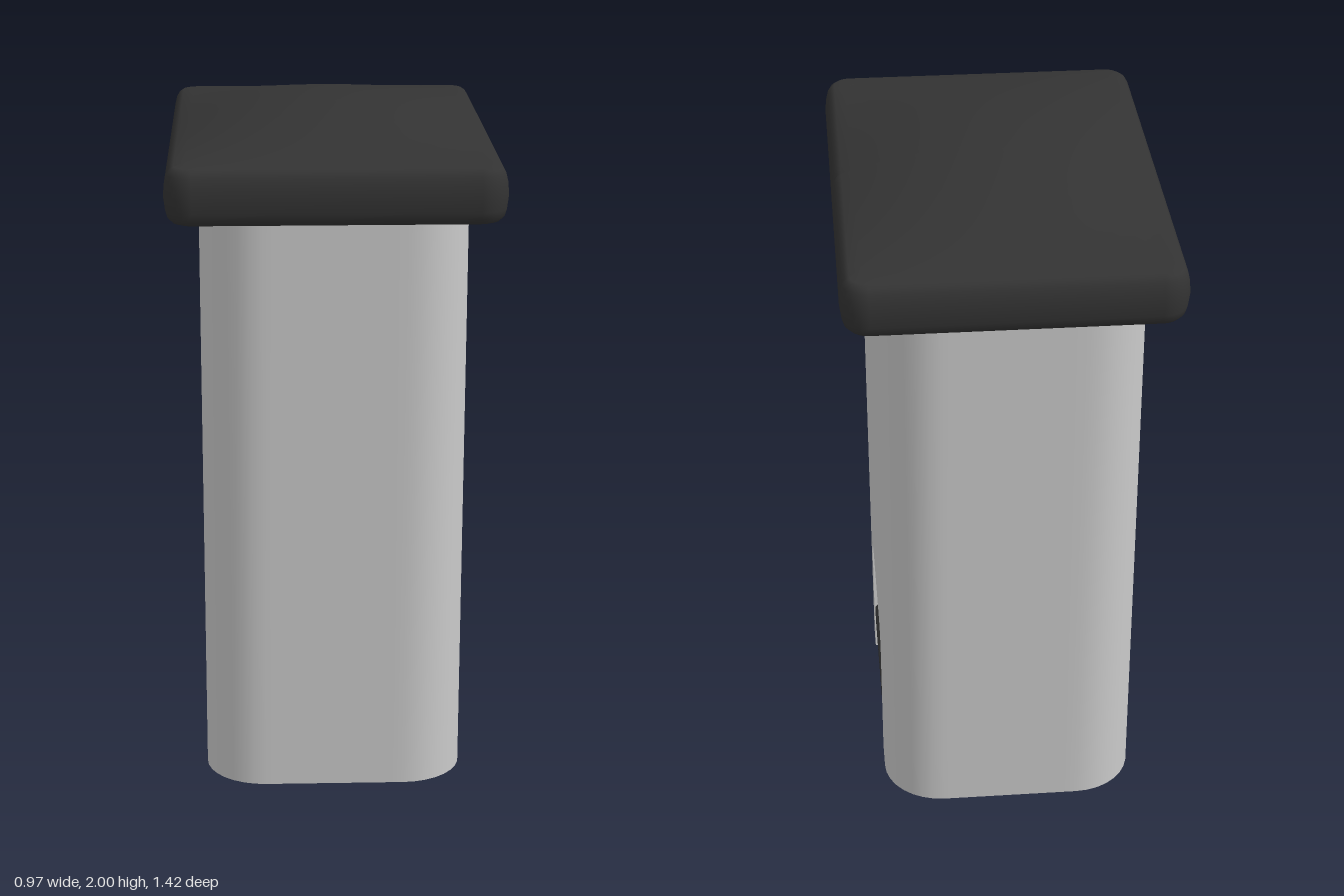
import * as THREE from 'three';

const WALL_X = 0.388, TOP_Y = 1.77, CORNER = 0.18;
const grey = new THREE.MeshStandardMaterial({ color: 0xcccccc });
const dark = new THREE.MeshStandardMaterial({ color: 0x333333 });

// Smooth surface through rows of points; faces point along (next row) x (next point)
function skin(rows) {
  const n = rows[0].length, index = [];
  for (let j = 0; j < rows.length - 1; j++) {
    for (let i = 0; i < n - 1; i++) {
      const a = j * n + i, b = a + 1, c = a + n, d = c + 1;
      index.push(a, c, b, b, c, d);
    }
  }
  const geometry = new THREE.BufferGeometry();
  geometry.setAttribute('position', new THREE.Float32BufferAttribute(rows.flat(2), 3));
  geometry.setIndex(index);
  geometry.computeVertexNormals();
  return geometry;
}

// Rounded rectangle as [x, z], from (hw, z0) by way of +z, -x and -z back to (hw, -z0)
function roundRect(hw, hd, r, z0) {
  const arcSteps = 8, sideSteps = 12, corners = [[1, 1], [-1, 1], [-1, -1], [1, -1]];
  const points = [];
  const lineTo = (x, z) => {
    const [px, pz] = points[points.length - 1];
    for (let k = 1; k <= sideSteps; k++) {
      const t = k / sideSteps;
      points.push([px + (x - px) * t, pz + (z - pz) * t]);
    }
  };
  points.push([hw, z0]);
  corners.forEach(([sx, sz], q) => {
    for (let k = 0; k <= arcSteps; k++) {
      const a = (q + k / arcSteps) * Math.PI / 2;
      const x = sx * (hw - r) + r * Math.cos(a), z = sz * (hd - r) + r * Math.sin(a);
      if (k === 0) lineTo(x, z); else points.push([x, z]);
    }
  });
  lineTo(hw, -z0);
  return points;
}

// Arched recess outline as [z, y], from the +z foot over the top to the -z foot
function arch(inset) {
  const r = Math.max(0.08 - inset, 0.025), top = 0.46 - inset, half = 0.285 - inset;
  const side = [[0.27 - inset, 0]];
  for (let k = 0; k <= 8; k++) {
    const a = k / 8 * Math.PI / 2;
    side.push([half - r + r * Math.cos(a), top - r + r * Math.sin(a)]);
  }
  return [...side, ...side.map(([z, y]) => [-z, y]).reverse()];
}

const flat = (points) => new THREE.ShapeGeometry(new THREE.Shape(points.map(([u, v]) => new THREE.Vector2(u, v))));
const facingX = (points, x) => flat(points.map(([z, y]) => [-z, y])).rotateY(Math.PI / 2).translate(x, 0, 0);

export function createModel() {
  const model = new THREE.Group();
  const body = new THREE.Group();
  body.name = 'body';
  model.add(body);
  const add = (parent, name, geometry, material) => {
    const mesh = new THREE.Mesh(geometry, material);
    mesh.name = name;
    parent.add(mesh);
  };

  // Tapered wall, open along the flat side that holds the pedal recess
  const levels = [[0, 0.55], [TOP_Y, 0.632]].map(([y, hd]) => ({ y, hd, edge: hd - CORNER - 0.02 }));
  const outlines = levels.map((l) => roundRect(WALL_X, l.hd, CORNER, l.edge));
  add(body, 'wall', skin(outlines.map((o, j) => o.map(([x, z]) => [x, levels[j].y, z]))), grey);

  // Flat side panel, cut out around the recess
  const [low, high] = levels;
  const mouth = arch(0);
  add(body, 'pedalSidePanel', facingX([
    [low.edge, 0], ...mouth, [-low.edge, 0], [-high.edge, TOP_Y], [high.edge, TOP_Y],
  ], WALL_X), grey);

  // Pedal recess: straight sides, then a cove into the back wall
  const cove = 0.06, backX = 0.21;
  const steps = [[WALL_X, 0], [backX + cove + 0.02, 0]];
  for (let k = 0; k <= 6; k++) {
    const a = k / 6 * Math.PI / 2;
    steps.push([backX + cove * (1 - Math.sin(a)), cove * (1 - Math.cos(a))]);
  }
  add(body, 'pedalRecess', skin(steps.map(([x, inset]) => arch(inset).map(([z, y]) => [x, y, z]))), grey);
  add(body, 'pedalRecessBack', facingX(arch(cove), backX), grey);

  // Base plate, notched where the recess meets the floor
  const feet = steps.map(([x, inset]) => [x, 0.27 - inset]);
  const notch = [...feet.map(([x, z]) => [x, -z]), ...feet.slice().reverse()];
  add(body, 'base', flat([...outlines[0], ...notch]).rotateX(Math.PI / 2), grey);

  // Pedal, sloping down into the recess
  const pedalShape = new THREE.Shape([
    [0.2, 0.07], [0.375, 0.098], [0.385, 0.108], [0.385, 0.16], [0.375, 0.17], [0.2, 0.115],
  ].map(([x, y]) => new THREE.Vector2(x, y)));
  const pedal = new THREE.ExtrudeGeometry(pedalShape, { depth: 0.548, bevelEnabled: false });
  add(model, 'pedal', pedal.translate(0, 0, -0.274), dark);

  // Lid: flat underside, rounded rim, shallow dome
  const rim = [
    [0.07, 1.76], [0.045, 1.76], [0.025, 1.766], [0.011, 1.78], [0.005, 1.80], [0, 1.84],
    [0.003, 1.875], [0.009, 1.90], [0.018, 1.915], [0.03, 1.923],
  ].map(([inset, y]) => roundRect(0.483 - inset, 0.71 - inset, 0.08 - inset, 0).map(([x, z]) => [x, y, z]));
  const centre = rim[0].map(() => [0, 1.76, 0]);
  const edge = rim[rim.length - 1];
  const dome = [];
  for (let k = 1; k <= 14; k++) {
    const s = 1 - k / 14;
    dome.push(edge.map(([x, y, z]) => {
      const px = x * s, pz = z * s;
      return [px, y + 0.077 * (1 - (px / 0.453) ** 2) * (1 - (pz / 0.68) ** 2), pz];
    }));
  }
  add(model, 'lid', skin([centre, ...rim, ...dome]), dark);

  return model;
}
